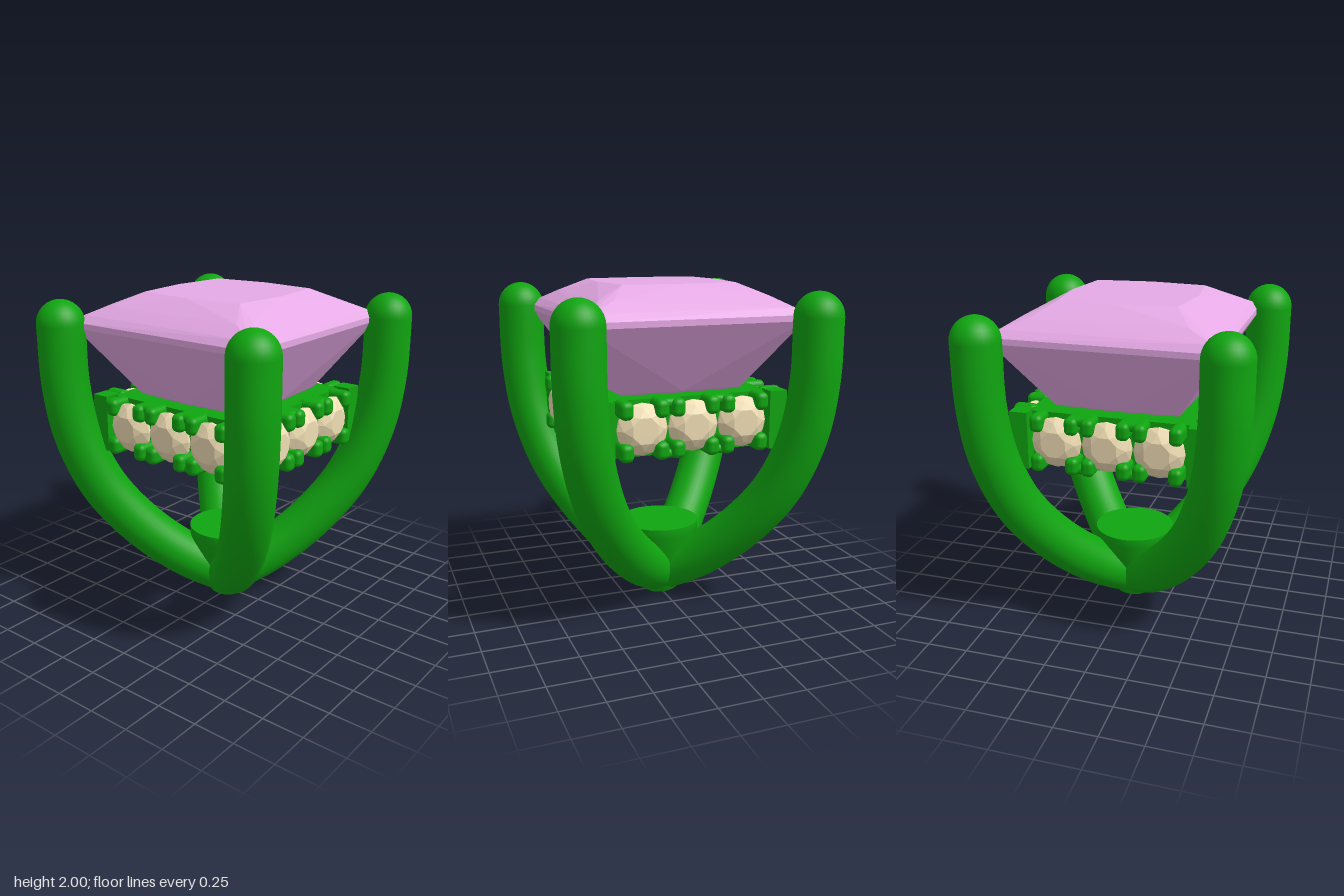
import * as THREE from 'three';
import { ConvexGeometry } from 'three/addons/geometries/ConvexGeometry.js';
import { RoundedBoxGeometry } from 'three/addons/geometries/RoundedBoxGeometry.js';

const green = new THREE.MeshStandardMaterial({ color: 0x10a510 });
const pink = new THREE.MeshStandardMaterial({ color: 0xe6aae6, flatShading: true });
const tan = new THREE.MeshStandardMaterial({ color: 0xf0deb4, flatShading: true });
const up = new THREE.Vector3(0, 1, 0);

function add(parent, name, geometry, material, x = 0, y = 0, z = 0) {
  const mesh = new THREE.Mesh(geometry, material);
  mesh.name = name;
  mesh.position.set(x, y, z);
  parent.add(mesh);
}

// One corner prong: a curved round bar with a domed tip, in the diagonal plane
function makeProng() {
  const prong = new THREE.Group();
  const profile = [[0, 0.13], [0.2, 0.28], [0.4, 0.51], [0.56, 0.79], [0.66, 1.12], [0.7, 1.45], [0.705, 1.82]];
  const path = new THREE.CatmullRomCurve3(profile.map(([d, y]) => new THREE.Vector3(d, y, d)));
  add(prong, 'prongBar', new THREE.TubeGeometry(path, 48, 0.145, 32), green);
  add(prong, 'prongTip', new THREE.SphereGeometry(0.145, 32, 16), green, 0.705, 1.82, 0.705);
  return prong;
}

// Square cut stone: points of one quarter, turned four times, then wrapped
function squareStone() {
  const quarter = [
    [0.35, 2, 0.35], [0, 2, 0.39],
    [0.455, 1.925, 0.52], [0.52, 1.925, 0.455], [0.6, 1.868, 0.61],
    [0.645, 1.825, 0.645], [0.645, 1.79, 0.645],
    [0.38, 1.385, 0.38], [0, 1.385, 0.4], [0, 1.08, 0],
  ];
  const points = [];
  for (let k = 0; k < 4; k++) {
    for (const p of quarter) {
      points.push(new THREE.Vector3(...p).applyAxisAngle(up, k * Math.PI / 2));
    }
  }
  return new ConvexGeometry(points);
}

// Round cut stone facing +z: rings of [radius, z, count, turn]
function roundStone() {
  const rings = [[0.08, 0.065, 8, 0.5], [0.122, 0.04, 8, 0], [0.15, 0.01, 16, 0], [0.15, -0.005, 16, 0], [0.02, -0.11, 8, 0]];
  const points = [];
  for (const [r, z, n, turn] of rings) {
    for (let i = 0; i < n; i++) {
      const a = (i + turn) / n * Math.PI * 2;
      points.push(new THREE.Vector3(r * Math.cos(a), r * Math.sin(a), z));
    }
  }
  return new ConvexGeometry(points);
}

function makeFrame() {
  const frame = new THREE.Group();
  // Square ring under the main stone
  const square = s => [[-s, -s], [s, -s], [s, s], [-s, s]].map(p => new THREE.Vector2(...p));
  const shape = new THREE.Shape(square(0.5));
  shape.holes.push(new THREE.Path(square(0.28)));
  const ring = new THREE.ExtrudeGeometry(shape, { depth: 0.33, bevelEnabled: false });
  add(frame, 'frameRing', ring.rotateX(-Math.PI / 2), green, 0, 1.045, 0);

  const stone = roundStone();
  const claw = new RoundedBoxGeometry(0.08, 0.105, 0.15, 3, 0.032);
  const bridge = new RoundedBoxGeometry(0.15, 0.055, 0.13, 3, 0.025);
  for (let k = 0; k < 4; k++) {
    const side = new THREE.Group();
    side.name = 'frameSide';
    side.rotation.y = k * Math.PI / 2;
    frame.add(side);
    // Corner post joining the frame to a prong
    add(side, 'cornerPost', new THREE.BoxGeometry(0.11, 0.345, 0.11), green, 0.53, 1.2125, 0.53);
    for (const x of [-0.307, 0, 0.307]) {
      add(side, 'sideStone', stone, tan, x, 1.215, 0.55);
      // Four claws hold each stone
      for (const dx of [-0.105, 0.105]) {
        add(side, 'upperClaw', claw, green, x + dx, 1.333, 0.55);
        add(side, 'lowerClaw', claw, green, x + dx, 1.092, 0.55);
      }
    }
    // Short bridges between neighbouring claws
    for (const x of [-0.154, 0.154]) {
      for (const y of [1.358, 1.067]) add(side, 'clawBridge', bridge, green, x, y, 0.53);
    }
  }
  return frame;
}

export function createModel() {
  const model = new THREE.Group();
  model.name = 'setting';

  for (let k = 0; k < 4; k++) {
    const prong = makeProng();
    prong.name = 'prong';
    prong.rotation.y = k * Math.PI / 2;
    model.add(prong);
  }

  // Solid hub where the prongs meet
  const hub = [[0, 0], [0.09, 0], [0.12, 0.02], [0.15, 0.1], [0.2, 0.27], [0.25, 0.42], [0.25, 0.48]];
  add(model, 'hub', new THREE.LatheGeometry(hub.map(p => new THREE.Vector2(...p)), 40), green);
  add(model, 'hubTop', new THREE.CircleGeometry(0.25, 40).rotateX(-Math.PI / 2), green, 0, 0.48, 0);

  const frame = makeFrame();
  frame.name = 'stoneFrame';
  model.add(frame);

  add(model, 'mainStone', squareStone(), pink);
  return model;
}
